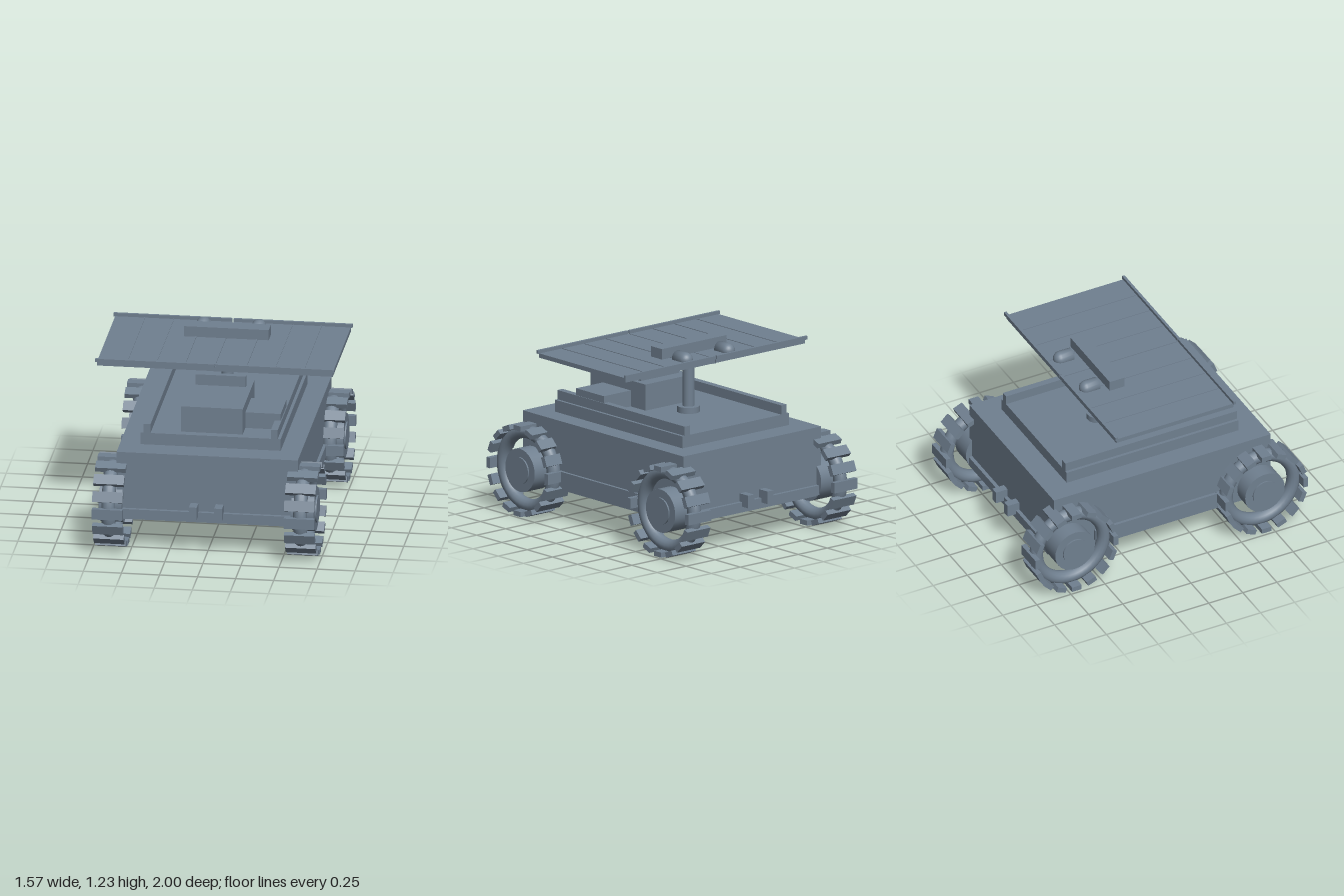
import * as THREE from 'three';

const slate = new THREE.MeshStandardMaterial({ color: 0x708090 });
slate.name = 'slate grey';

export function createModel() {
  const model = new THREE.Group();
  model.name = 'rover';

  const add = (name, geometry, parent = model) => {
    const mesh = new THREE.Mesh(geometry, slate);
    mesh.name = name;
    parent.add(mesh);
    return mesh;
  };
  // Box given by its limits on each axis
  const box = (name, x0, x1, y0, y1, z0, z1, parent = model) => {
    const mesh = add(name, new THREE.BoxGeometry(x1 - x0, y1 - y0, z1 - z0), parent);
    mesh.position.set((x0 + x1) / 2, (y0 + y1) / 2, (z0 + z1) / 2);
    return mesh;
  };
  const sideBox = (name, s, x0, x1, ...rest) =>
    box(name, Math.min(s * x0, s * x1), Math.max(s * x0, s * x1), ...rest);

  // Hull and stepped deck
  box('hull', -0.595, 0.595, 0.208, 0.67, -0.795, 0.795);
  box('undertray', -0.435, 0.435, 0.168, 0.208, -0.57, 0.57);
  box('upperDeck', -0.46, 0.46, 0.67, 0.75, -0.63, 0.63);
  for (const s of [-1, 1]) {
    sideBox('deckRail', s, 0.395, 0.44, 0.75, 0.812, -0.63, 0.63);
    sideBox('sideSkirt', s, 0.595, 0.615, 0.26, 0.338, -0.5, 0.5);
    const end = (name, x0, x1, y0, y1, a, b) =>
      box(name, x0, x1, y0, y1, Math.min(s * a, s * b), Math.max(s * a, s * b));
    end('bumper', -0.56, 0.56, 0.22, 0.285, 0.795, 0.82);
    for (const x of [-0.083, 0.083]) end('towHook', x - 0.026, x + 0.026, 0.255, 0.34, 0.795, 0.88);
  }

  // Cargo on the deck
  box('equipmentBox', -0.203, 0.203, 0.75, 0.925, 0.03, 0.575);
  box('sideCase', 0.203, 0.435, 0.75, 0.858, 0.175, 0.45);
  box('instrumentPlate', -0.165, 0.165, 0.925, 0.997, 0.12, 0.16);
  const sensor = add('sensor', new THREE.CylinderGeometry(0.036, 0.036, 0.085, 16));
  sensor.rotation.x = Math.PI / 2;
  sensor.position.set(0, 1.035, 0.003);

  // Mast
  add('mast', new THREE.CylinderGeometry(0.04, 0.04, 0.4, 24)).position.set(0, 0.94, -0.163);
  add('mastBase', new THREE.CylinderGeometry(0.075, 0.075, 0.04, 24)).position.set(0, 0.77, -0.163);

  // Solar roof: two panels with cell ridges and end lips
  for (const s of [-1, 1]) {
    sideBox('solarPanel', s, 0.004, 0.774, 1.126, 1.155, -0.43, 0.43);
    for (const x of [0.2, 0.39, 0.58])
      sideBox('cellRidge', s, x - 0.004, x + 0.004, 1.155, 1.159, -0.42, 0.42);
    sideBox('panelLip', s, 0.004, 0.785, 1.153, 1.176, 0.424, 0.442);
    sideBox('panelLip', s, 0.004, 0.785, 1.153, 1.176, -0.442, -0.424);
  }
  box('panelHinge', -0.012, 0.012, 1.12, 1.15, -0.42, 0.42);

  // Sensor bar and round-nosed lamps
  box('sensorBar', -0.278, 0.278, 1.15, 1.225, -0.22, -0.113);
  const lampProfile = [new THREE.Vector2(0, 0)];
  for (let i = 0; i <= 8; i++) {
    const a = (i / 8) * Math.PI / 2;
    if (i === 0) lampProfile.push(new THREE.Vector2(0.048, 0));
    lampProfile.push(new THREE.Vector2(0.048 * Math.cos(a), 0.08 + 0.048 * Math.sin(a)));
  }
  for (const x of [-0.182, 0.182]) {
    const lamp = add('lamp', new THREE.LatheGeometry(lampProfile, 20));
    lamp.rotation.x = -Math.PI / 2;
    lamp.position.set(x, 1.163, -0.263);
  }

  // Wheels: ring tyre, tread blocks and hub, axis along x
  const tyre = new THREE.TorusGeometry(0.247, 0.045, 14, 40).rotateY(Math.PI / 2);
  const hub = new THREE.CylinderGeometry(0.145, 0.145, 0.15, 32).rotateZ(Math.PI / 2);
  const cap = new THREE.CylinderGeometry(0.09, 0.09, 0.02, 28).rotateZ(Math.PI / 2);
  const block = new THREE.BoxGeometry(0.2, 0.034, 0.07).translate(0, 0.287, 0);
  for (const sx of [-1, 1]) for (const sz of [-1, 1]) {
    const wheel = new THREE.Group();
    wheel.name = 'wheel';
    wheel.position.set(sx * 0.63, 0.304, sz * 0.696);
    add('tyre', tyre, wheel);
    add('hub', hub, wheel);
    add('hubCap', cap, wheel).position.x = sx * 0.075;
    for (let i = 0; i < 16; i++) add('tread', block, wheel).rotation.x = (i * Math.PI) / 8;
    model.add(wheel);
  }
  return model;
}
